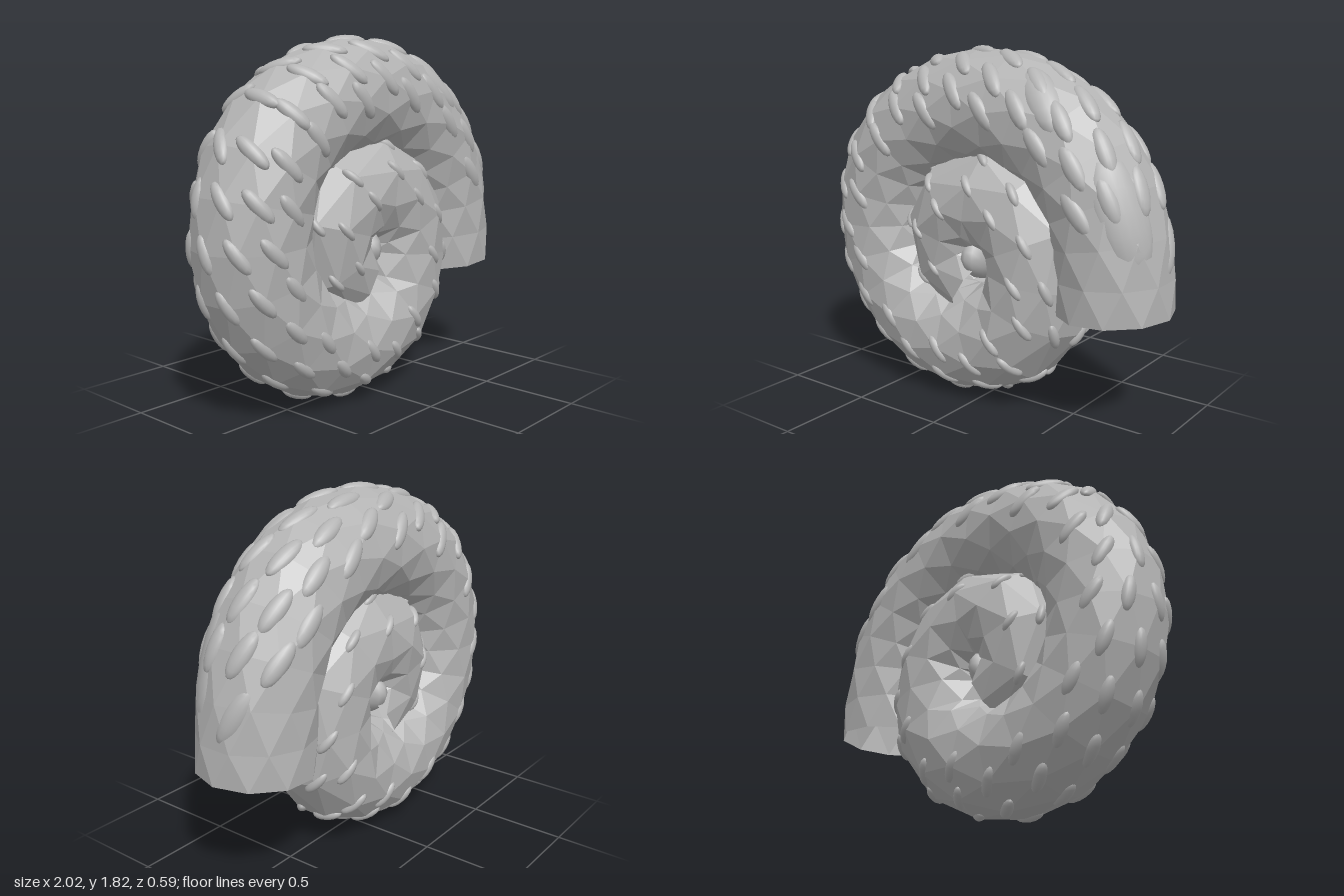
import * as THREE from 'three';

// Centre line of the coil, from the mouth to the middle (x, y)
const PATH = [
  [0.72, 0.585], [0.70, 0.87], [0.635, 1.11], [0.45, 1.36], [0.12, 1.515], [-0.26, 1.49],
  [-0.59, 1.28], [-0.715, 0.94], [-0.66, 0.62], [-0.47, 0.39], [-0.21, 0.29], [0.06, 0.34],
  [0.24, 0.47], [0.295, 0.66], [0.29, 0.85], [0.18, 1.0], [-0.04, 1.07], [-0.2, 0.96],
  [-0.25, 0.8], [-0.19, 0.67], [-0.08, 0.6],
];
const RADIUS = 0.285;
const SIDES = 10;
const RINGS = 30;

export function createModel() {
  const model = new THREE.Group();
  const grey = new THREE.MeshStandardMaterial({ color: 0xb4b4b4, flatShading: true, side: THREE.DoubleSide });
  grey.name = 'shell grey';
  const smoothGrey = new THREE.MeshStandardMaterial({ color: 0xb4b4b4 });
  smoothGrey.name = 'bump grey';

  const curve = new THREE.CatmullRomCurve3(PATH.map(([x, y]) => new THREE.Vector3(x, y, 0)));
  const zAxis = new THREE.Vector3(0, 0, 1);

  // Point on the tube wall; angle 0 is the outer edge, 90 degrees the front
  function wall(u, angle, scale = 1) {
    const tangent = curve.getTangentAt(u);
    const out = new THREE.Vector3(tangent.y, -tangent.x, 0).normalize();
    const normal = out.multiplyScalar(Math.cos(angle)).addScaledVector(zAxis, Math.sin(angle));
    const taper = u > 0.9 ? 1 - (u - 0.9) * 2.5 : 1;
    const point = curve.getPointAt(u).addScaledVector(normal, RADIUS * taper * scale);
    return { point, normal };
  }

  // Faceted coiled tube, open at the mouth, with every other ring turned half a step
  const positions = [];
  const index = [];
  for (let i = 0; i <= RINGS; i++) {
    for (let j = 0; j < SIDES; j++) {
      const angle = ((j + (i % 2) * 0.5) / SIDES) * Math.PI * 2;
      positions.push(...wall(i / RINGS, angle).point.toArray());
    }
  }
  for (let i = 0; i < RINGS; i++) {
    for (let j = 0; j < SIDES; j++) {
      const k = (j + 1) % SIDES;
      const a = i * SIDES + j, b = i * SIDES + k;
      const c = a + SIDES, d = b + SIDES;
      if (i % 2) index.push(a, d, b, a, c, d);
      else index.push(a, c, b, b, c, d);
    }
  }
  const geometry = new THREE.BufferGeometry();
  geometry.setAttribute('position', new THREE.Float32BufferAttribute(positions, 3));
  geometry.setIndex(index);
  geometry.computeVertexNormals();
  const shell = new THREE.Mesh(geometry, grey);
  shell.name = 'coiledShell';
  model.add(shell);

  // Smooth bump lying on the wall, its long axis along a shared diagonal
  const ball = new THREE.SphereGeometry(1, 16, 10);
  const bumps = new THREE.Group();
  bumps.name = 'shellBumps';
  model.add(bumps);
  function addBump(u, angle, length, width, height, sink) {
    const { point, normal } = wall(u, angle);
    const along = new THREE.Vector3(0.6, -0.75, 0.25).projectOnPlane(normal).normalize();
    const across = new THREE.Vector3().crossVectors(normal, along);
    const bump = new THREE.Mesh(ball, smoothGrey);
    bump.name = 'bump';
    bump.quaternion.setFromRotationMatrix(new THREE.Matrix4().makeBasis(along, across, normal));
    bump.scale.set(length, width, height);
    bump.position.copy(point).addScaledVector(normal, -sink);
    bumps.add(bump);
  }

  // Rows of bumps, shrinking towards the middle
  const ROWS = 30;
  for (let i = 3; i < ROWS; i++) {
    const u = i / ROWS;
    const size = 1 - u * 0.55;
    for (let j = -2; j <= 2; j++) {
      addBump(u, j * 0.62 + (i % 2) * 0.3, 0.13 * size, 0.05 * size, 0.035, 0.025);
    }
  }
  // Large swellings near the mouth
  addBump(0.09, 0.75, 0.3, 0.13, 0.07, 0.07);
  addBump(0.19, 0.8, 0.2, 0.09, 0.06, 0.055);
  addBump(0.06, -0.35, 0.16, 0.06, 0.05, 0.045);

  // Rounded core in the middle of the coil
  const core = new THREE.Mesh(ball, smoothGrey);
  core.name = 'core';
  core.scale.set(0.09, 0.13, 0.2);
  core.position.set(-0.04, 0.76, 0);
  model.add(core);

  return model;
}
